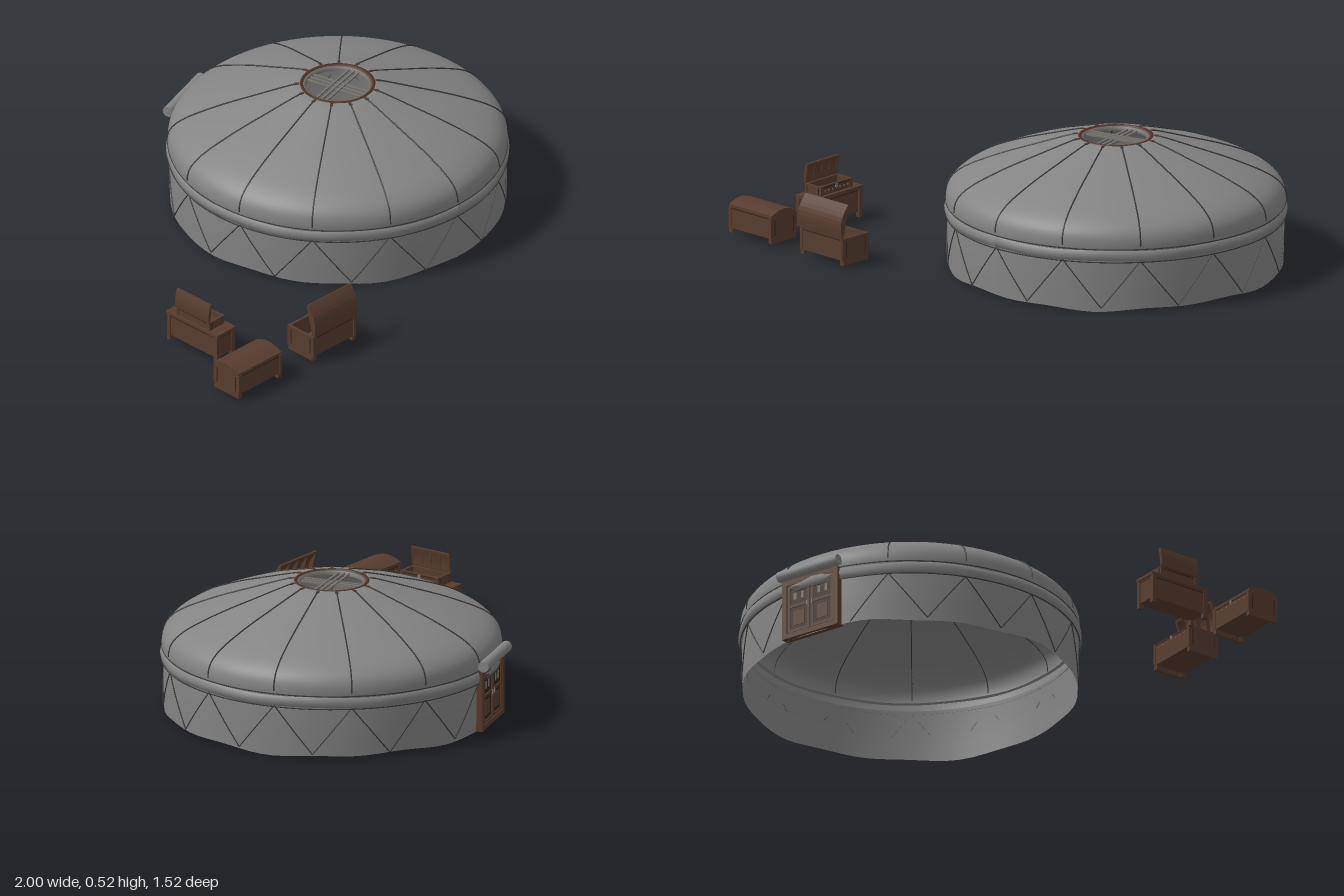
import * as THREE from 'three';

const mat = (name, color, side = THREE.FrontSide) => {
  const m = new THREE.MeshStandardMaterial({ color, side });
  m.name = name;
  return m;
};

export function createModel() {
  const felt = mat('grey felt', 0x848484, THREE.DoubleSide);
  const rope = mat('dark rope', 0x3a3938);
  const wood = mat('brown wood', 0x573c2d);
  const darkWood = mat('dark wood', 0x38261c);
  const metal = mat('grey metal', 0x77736d);

  const root = new THREE.Group();
  root.name = 'yurtAndChests';

  const add = (parent, name, geo, material, x = 0, y = 0, z = 0) => {
    const m = new THREE.Mesh(geo, material);
    m.name = name;
    m.position.set(x, y, z);
    parent.add(m);
    return m;
  };
  const box = (parent, name, material, w, h, d, x, y, z) =>
    add(parent, name, new THREE.BoxGeometry(w, h, d), material, x, y, z);
  const group = (parent, name, x, y, z) => {
    const g = new THREE.Group();
    g.name = name;
    g.position.set(x, y, z);
    parent.add(g);
    return g;
  };
  const rad = THREE.MathUtils.degToRad;
  const polar = (deg, r, y) => new THREE.Vector3(r * Math.cos(rad(deg)), y, r * Math.sin(rad(deg)));
  const tube = (parent, name, pts, r, material, segs = 16) =>
    add(parent, name, new THREE.TubeGeometry(new THREE.CatmullRomCurve3(pts), segs, r, 5), material);
  const lathe = (pts, segs = 78) => new THREE.LatheGeometry(pts.map(p => new THREE.Vector2(...p)), segs);

  // ---- Yurt ----
  const yurt = group(root, 'yurt', 0.333, 0, -0.06);

  // Wall with an uneven lower hem
  const wallGeo = lathe([[0.652, 0.012], [0.654, 0.08], [0.655, 0.15], [0.653, 0.225]]);
  const wp = wallGeo.attributes.position;
  for (let i = 0; i < wp.count; i++) {
    if (wp.getY(i) < 0.05) {
      const a = Math.atan2(wp.getZ(i), wp.getX(i));
      wp.setY(i, 0.012 + 0.005 * Math.sin(a * 5) + 0.004 * Math.sin(a * 11 + 1));
    }
  }
  wallGeo.computeVertexNormals();
  add(yurt, 'wall', wallGeo, felt);

  // Domed roof, open at the crown
  const roofPts = [[0.655, 0.225], [0.662, 0.27], [0.655, 0.312], [0.63, 0.345], [0.585, 0.375], [0.52, 0.404],
    [0.43, 0.438], [0.33, 0.47], [0.23, 0.502], [0.17, 0.52], [0.145, 0.524]];
  const roofCurve = new THREE.SplineCurve(roofPts.map(p => new THREE.Vector2(...p)));
  const smooth = roofCurve.getPoints(30);
  add(yurt, 'roof', new THREE.LatheGeometry(smooth, 78), felt);

  // Lumpy belt where the roof meets the wall
  const beltGeo = lathe([[0.65, 0.208], [0.663, 0.212], [0.668, 0.232], [0.664, 0.252], [0.65, 0.258]]);
  const bp = beltGeo.attributes.position;
  for (let i = 0; i < bp.count; i++) {
    const a = Math.atan2(bp.getZ(i), bp.getX(i));
    const s = 1 + 0.003 * Math.sin(a * 13) * Math.sin(a * 4);
    bp.setXYZ(i, bp.getX(i) * s, bp.getY(i) + 0.002 * Math.sin(a * 9), bp.getZ(i) * s);
  }
  beltGeo.computeVertexNormals();
  add(yurt, 'belt', beltGeo, felt);
  for (const y of [0.207, 0.259]) {
    const t = add(yurt, 'beltRope', new THREE.TorusGeometry(0.661, 0.0025, 5, 90), rope, 0, y, 0);
    t.rotation.x = Math.PI / 2;
  }

  // Roof seams ending in small pegs, and V-shaped wall ropes hanging from each seam
  const step = 26.7;
  for (let k = -5; k <= 7; k++) {
    const a = 90 - k * step;
    const seam = smooth.slice(3).filter((p, i) => i % 2 === 0).map(p => polar(a, p.x + 0.001, p.y + 0.0015));
    tube(yurt, 'roofSeam', seam, 0.003, rope, 28);
    const peg = polar(a, 0.158, 0.522);
    box(yurt, 'crownPeg', wood, 0.018, 0.008, 0.011, peg.x, peg.y, peg.z).rotation.y = -rad(a);
    for (const dir of [-1, 1]) {
      if (k === 7 && dir === -1) continue;
      const pts = [0, 0.25, 0.5, 0.75, 1].map(t => polar(a + dir * t * step / 2, 0.6565, 0.21 - t * 0.19));
      tube(yurt, 'wallRope', pts, 0.0024, rope, 8);
    }
  }

  // Crown ring with crossed bars
  const crown = group(yurt, 'crown', 0, 0.515, 0);
  add(crown, 'crownRing', lathe([[0.135, -0.012], [0.147, -0.012], [0.147, 0.01], [0.135, 0.01], [0.135, -0.012]], 40), wood);
  add(crown, 'crownInnerRing', lathe([[0.124, -0.01], [0.136, -0.01], [0.136, 0.006], [0.124, 0.006], [0.124, -0.01]], 40), metal);
  crown.rotation.y = rad(14);
  for (const off of [-0.022, 0, 0.022]) {
    box(crown, 'crownBar', metal, 0.265, 0.007, 0.008, 0, 0, off);
    box(crown, 'crownCrossBar', metal, 0.008, 0.007, 0.265, off, -0.004, 0);
  }

  // Door with two leaves, and the rolled felt flap above it
  const doorDir = polar(-108, 0.646, 0);
  const door = group(yurt, 'door', doorDir.x, 0, doorDir.z);
  door.rotation.y = Math.atan2(doorDir.x, doorDir.z);
  box(door, 'doorBacking', darkWood, 0.25, 0.225, 0.024, 0, 0.13, 0);
  box(door, 'doorLintel', wood, 0.268, 0.022, 0.036, 0, 0.248, 0);
  box(door, 'doorSill', wood, 0.268, 0.02, 0.036, 0, 0.022, 0);
  for (const s of [-1, 1]) {
    box(door, 'doorPost', wood, 0.022, 0.24, 0.036, s * 0.123, 0.136, 0);
    for (const x of [0.009, 0.103]) box(door, 'leafStile', wood, 0.012, 0.2, 0.012, s * x, 0.134, 0.01);
    for (const y of [0.04, 0.145, 0.225]) box(door, 'leafRail', wood, 0.09, 0.012, 0.012, s * 0.057, y, 0.01);
    box(door, 'lowerPanel', wood, 0.052, 0.06, 0.006, s * 0.057, 0.092, 0.011);
    for (const x of [0.04, 0.074]) box(door, 'upperPane', metal, 0.013, 0.03, 0.006, s * x, 0.186, 0.011);
    box(door, 'handle', metal, 0.005, 0.02, 0.008, s * 0.012, 0.14, 0.018);
  }
  const roll = add(door, 'rolledFlap', new THREE.CylinderGeometry(0.022, 0.022, 0.285, 14), felt, 0, 0.28, 0.024);
  roll.rotation.z = Math.PI / 2;

  // ---- Chests: hinge on local +z, lid opens toward local -z ----
  const lidSection = (d, rise, inset) => {
    const s = new THREE.Shape();
    s.moveTo(0, 0);
    for (let i = 0; i <= 8; i++) s.lineTo(d * i / 8, 0.008 + rise * Math.sin(Math.PI * i / 8));
    s.lineTo(d, 0);
    if (inset) for (let i = 8; i >= 0; i--) {
      s.lineTo(inset + (d - 2 * inset) * i / 8, (rise - 0.002) * Math.sin(Math.PI * i / 8));
    }
    return s;
  };
  const slice = (shape, w, x) => {
    const g = new THREE.ExtrudeGeometry(shape, { depth: w, bevelEnabled: false });
    g.rotateY(Math.PI / 2);
    return g.translate(x - w / 2, 0, 0);
  };
  const makeChest = (parent, name, w, d, y0, y1, rise, open) => {
    const g = group(parent, name, 0, 0, 0);
    const h = y1 - y0, ym = (y0 + y1) / 2, t = 0.009;
    box(g, 'chestFloor', wood, w - t, t, d - t, 0, y0 + t / 2, 0);
    for (const s of [-1, 1]) {
      box(g, 'chestSide', wood, t, h, d, s * (w - t) / 2, ym, 0);
      for (const e of [-1, 1]) box(g, 'sideGroove', darkWood, 0.003, h * 0.75, 0.004, s * w / 2, ym, e * d * 0.38);
      box(g, 'chestPanel', wood, w - 2 * t, h, t, 0, ym, s * (d - t) / 2);
      box(g, 'chestTrim', darkWood, w, 0.005, 0.003, 0, y1 - 0.006, s * d / 2);
      for (const e of [-1, 1]) box(g, 'cornerStrip', wood, 0.014, h, 0.006, s * (w / 2 - 0.007), ym, e * d / 2);
    }
    // Small studs and a latch on the opening side
    for (let i = -3; i <= 3; i++) box(g, 'stud', metal, 0.005, 0.005, 0.004, i * w * 0.12, y1 - 0.02, -d / 2 - 0.001);
    box(g, 'latch', metal, 0.012, 0.014, 0.006, 0, y1 - 0.01, -d / 2 - 0.002);
    const lid = group(g, 'lid', 0, y1, d / 2);
    lid.rotation.x = rad(open);
    add(lid, 'lidShell', slice(lidSection(d, rise, 0.008), w, 0), wood);
    for (let i = -2; i <= 2; i++) {
      add(lid, 'lidRib', slice(lidSection(d - 0.002, rise - 0.001, 0), 0.008, i * (w / 4 - 0.002)), wood).position.z = -0.001;
    }
    return g;
  };
  const addFeet = (g, w, d, top, size) => {
    for (const x of [-1, 1]) for (const z of [-1, 1]) {
      box(g, 'foot', wood, size, top - 0.014, size, x * (w - size) / 2, (top + 0.014) / 2, z * (d - size) / 2);
    }
  };
  // Side boards that run down to the ground
  const addSkirts = (g, w, d) => {
    for (const s of [-1, 1]) box(g, 'sideSkirt', wood, 0.012, 0.022, d, s * (w / 2 - 0.006), 0.025, 0);
  };

  const closed = makeChest(root, 'closedChest', 0.235, 0.135, 0.034, 0.12, 0.018, 0);
  closed.position.set(-0.8825, 0, 0.668);
  const opened = makeChest(root, 'openChest', 0.235, 0.137, 0.034, 0.122, 0.02, 75);
  opened.position.set(-0.482, 0, 0.674);
  for (const chest of [closed, opened]) {
    addFeet(chest, 0.235, 0.135, 0.036, 0.018);
    addSkirts(chest, 0.235, 0.135);
  }

  // Low bench, slightly askew, carrying a small open casket
  const bench = group(root, 'bench', -0.829, 0, 0.355);
  bench.rotation.y = -Math.PI / 2 + 0.03;
  box(bench, 'benchTop', wood, 0.275, 0.012, 0.104, 0, 0.135, 0);
  box(bench, 'benchBody', wood, 0.26, 0.095, 0.09, 0, 0.082, 0);
  box(bench, 'benchTrim', darkWood, 0.262, 0.005, 0.092, 0, 0.122, 0);
  addFeet(bench, 0.268, 0.102, 0.13, 0.018);
  const casket = makeChest(bench, 'casket', 0.18, 0.08, 0.141, 0.178, 0.005, 82);
  casket.position.z = 0.003;

  return root;
}
